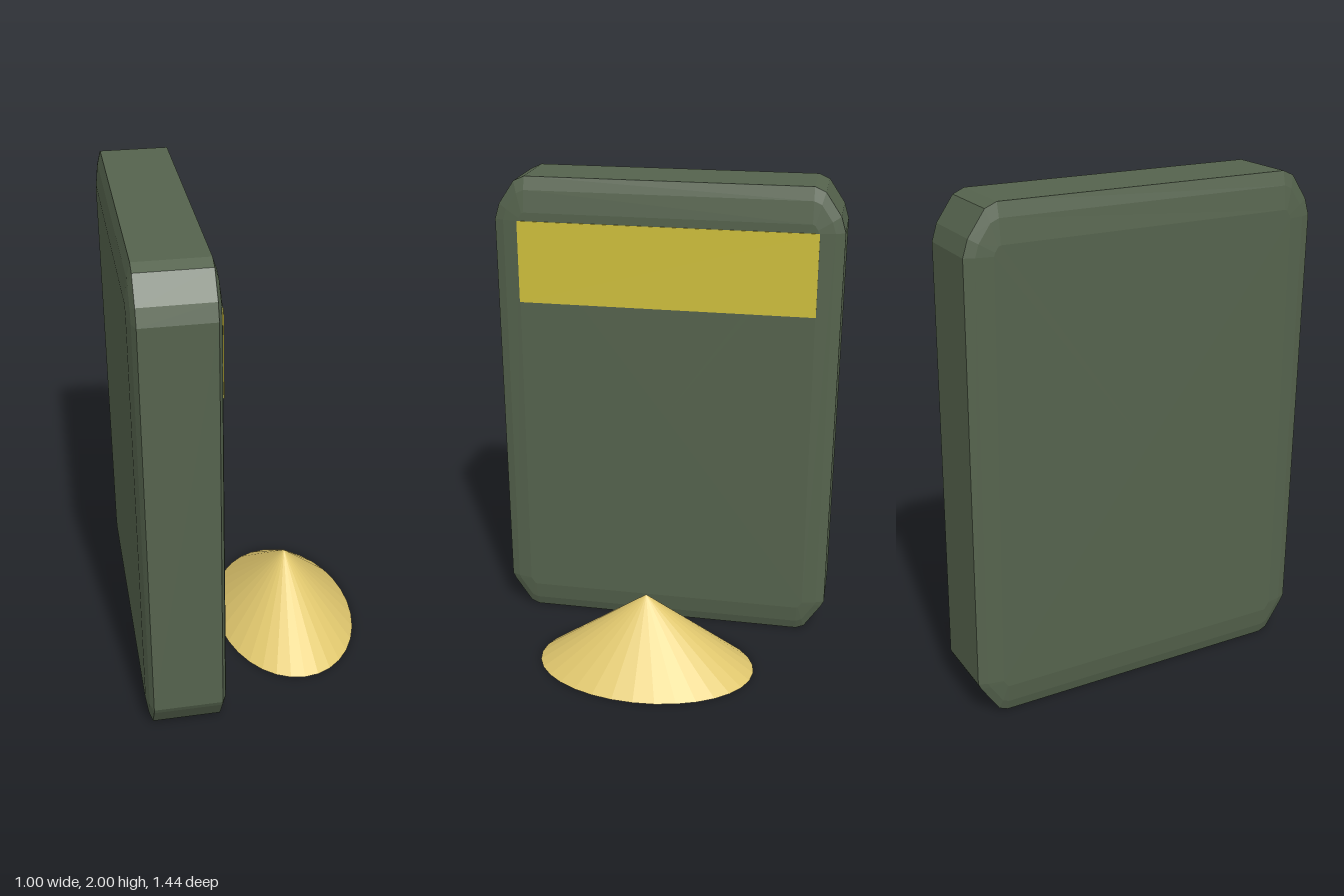
import * as THREE from 'three';

const paint = (color) => {
  const m = new THREE.MeshStandardMaterial({ flatShading: true });
  m.color.set(color);
  return m;
};

// Corner points as [z, y], from the top edge down to the bottom edge
const topCorner = [[0.59, 2], [0.635, 1.98], [0.70, 1.885], [0.72, 1.82]];
const bottomCorner = [[0.72, 0.15], [0.708, 0.125], [0.635, 0.015], [0.6, 0]];

// Slab outline, with each corner pulled towards its own centre by the factor s
function outline(s) {
  const pull = (pts, cz, cy) => pts.map(([z, y]) => [cz + s * (z - cz), cy + s * (y - cy)]);
  const half = [...pull(topCorner, 0.59, 1.82), ...pull(bottomCorner, 0.6, 0.15)];
  return [...half, ...half.map(([z, y]) => [-z, y]).reverse()];
}

// Slab lofted through outlines stacked along x, closed by a cap at each end
function slabGeometry() {
  const sections = [[-0.5, 0.2], [-0.489, 0.7], [-0.475, 1], [-0.2, 1], [-0.184, 0.7], [-0.172, 0.2]];
  const positions = [], index = [];
  for (const [x, s] of sections) for (const [z, y] of outline(s)) positions.push(x, y, z);
  const n = outline(1).length, last = (sections.length - 1) * n;
  const back = positions.length / 3, front = back + 1;
  positions.push(sections[0][0], 1, 0, sections.at(-1)[0], 1, 0);
  for (let i = 0; i < n; i++) {
    const j = (i + 1) % n;
    for (let k = 0; k < last; k += n) {
      index.push(k + i, k + j, k + n + i, k + j, k + n + j, k + n + i);
    }
    index.push(back, j, i, front, last + i, last + j);
  }
  const g = new THREE.BufferGeometry();
  g.setAttribute('position', new THREE.Float32BufferAttribute(positions, 3));
  g.setIndex(index);
  g.computeVertexNormals();
  return g;
}

export function createModel() {
  const model = new THREE.Group();
  const add = (name, geometry, color) => {
    const mesh = new THREE.Mesh(geometry, paint(color));
    mesh.name = name;
    model.add(mesh);
    return mesh;
  };

  // Upright slab with bevelled faces
  add('slab', slabGeometry(), 0x55634d);

  // Flat band near the top of the slab's left face
  add('band', new THREE.BoxGeometry(0.008, 0.345, 1.24), 0xcfbf3c).position.set(-0.173, 1.648, 0);

  // Oval heap beside the slab
  const heap = add('heap', new THREE.ConeGeometry(1, 0.335, 32), 0xe0c76e);
  heap.scale.set(0.305, 1, 0.463);
  heap.position.set(0.195, 0.1675, 0.012);

  return model;
}
